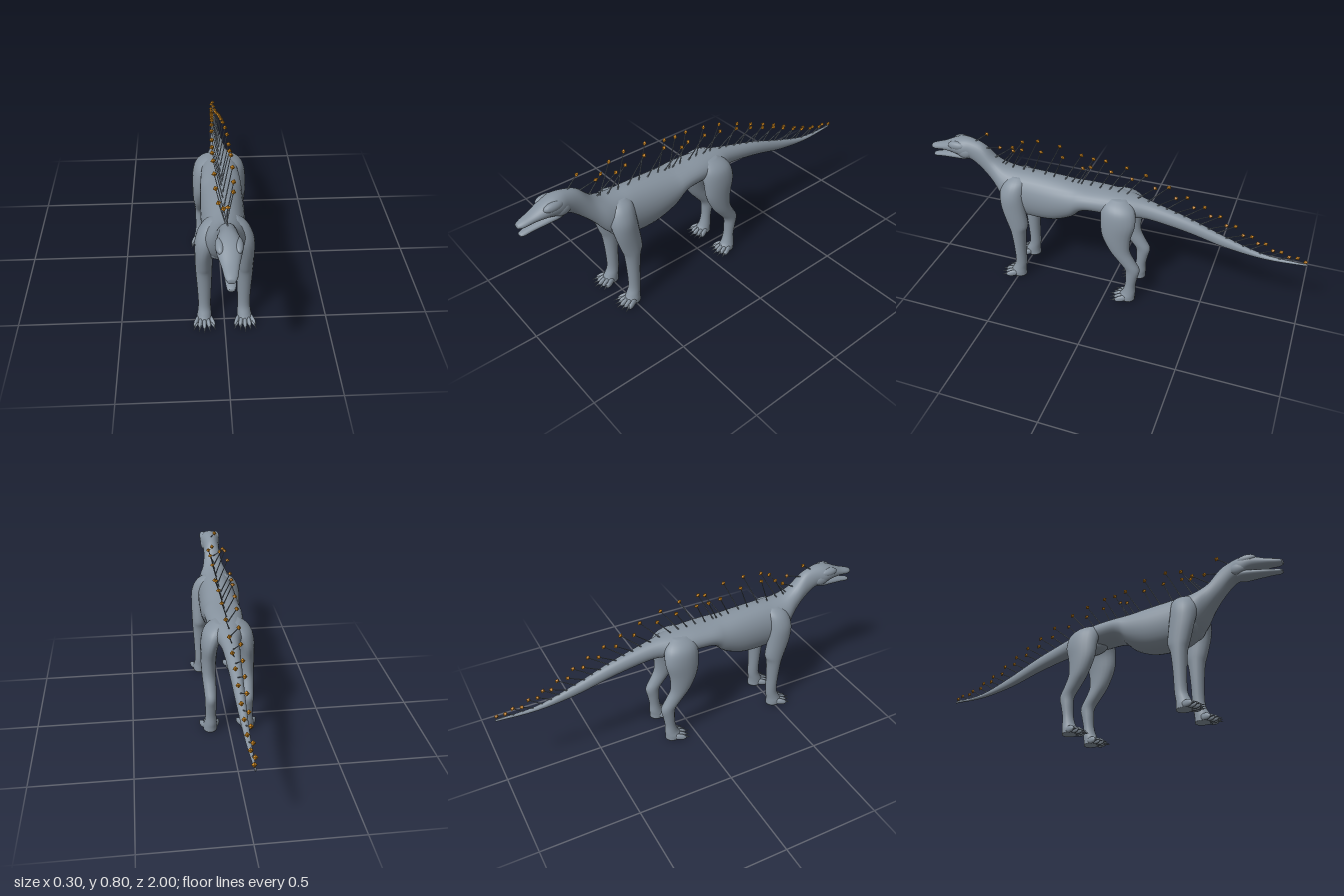
import * as THREE from 'three';

const skin = new THREE.MeshStandardMaterial({ color: 0x87939f });
skin.name = 'slateSkin';
const tipMat = new THREE.MeshStandardMaterial({ color: 0xcc861f });
tipMat.name = 'amberTip';

// Smooth in-between rows for a table of cross-sections
function refine(rows, steps) {
  const out = [];
  const at = (i) => rows[Math.min(rows.length - 1, Math.max(0, i))];
  for (let i = 0; i < rows.length - 1; i++) {
    for (let s = 0; s < steps; s++) {
      const t = s / steps;
      out.push(rows[i].map((p1, k) => {
        const p0 = at(i - 1)[k], p2 = at(i + 1)[k], p3 = at(i + 2)[k];
        return p1 + 0.5 * t * (p2 - p0 + t * (2 * p0 - 5 * p1 + 4 * p2 - p3 + t * (3 * (p1 - p2) + p3 - p0)));
      }));
    }
  }
  out.push(rows[rows.length - 1]);
  return out;
}

// Skin through rings; point(row, cos, sin) gives one ring point
function loft(rows, sides, point) {
  const pos = [], index = [];
  const n = rows.length;
  rows.forEach((row) => {
    for (let j = 0; j < sides; j++) {
      const a = (j / sides) * Math.PI * 2;
      pos.push(...point(row, Math.cos(a), Math.sin(a)));
    }
  });
  for (let i = 0; i < n - 1; i++) {
    for (let j = 0; j < sides; j++) {
      const a = i * sides + j, b = i * sides + (j + 1) % sides;
      index.push(a, b, a + sides, b, b + sides, a + sides);
    }
  }
  // End caps
  pos.push(...point(rows[0], 0, 0), ...point(rows[n - 1], 0, 0));
  for (let j = 0; j < sides; j++) {
    const k = (j + 1) % sides, e = (n - 1) * sides;
    index.push(n * sides, k, j, n * sides + 1, e + j, e + k);
  }
  const g = new THREE.BufferGeometry();
  g.setAttribute('position', new THREE.Float32BufferAttribute(pos, 3));
  g.setIndex(index);
  g.computeVertexNormals();
  return g;
}

// Oval section with a slightly squarer underside
const alongZ = ([z, top, bottom, w], c, s) => [
  w * Math.sign(c) * Math.abs(c) ** (s < 0 ? 0.78 : 0.95),
  (top + bottom) / 2 + ((top - bottom) / 2) * s, z,
];

// Rows: z, top, bottom, half width (tail to snout)
const bodyRows = refine([
  [-1, 0.402, 0.391, 0.004], [-0.8, 0.404, 0.382, 0.012], [-0.6, 0.46, 0.405, 0.021],
  [-0.4, 0.53, 0.455, 0.031], [-0.2, 0.583, 0.49, 0.046], [-0.1, 0.603, 0.485, 0.075],
  [0, 0.612, 0.492, 0.09], [0.1, 0.612, 0.492, 0.098], [0.15, 0.613, 0.472, 0.101], [0.2, 0.616, 0.425, 0.103],
  [0.3, 0.624, 0.382, 0.105], [0.42, 0.63, 0.373, 0.102], [0.5, 0.63, 0.388, 0.1],
  [0.57, 0.64, 0.442, 0.088], [0.63, 0.672, 0.52, 0.059], [0.69, 0.732, 0.585, 0.046],
  [0.75, 0.755, 0.638, 0.046], [0.8, 0.76, 0.65, 0.055], [0.85, 0.748, 0.668, 0.053],
  [0.92, 0.715, 0.671, 0.036], [0.97, 0.698, 0.664, 0.027], [0.995, 0.688, 0.667, 0.016],
], 5);

const jawRows = refine([
  [0.76, 0.68, 0.65, 0.025], [0.8, 0.682, 0.64, 0.042], [0.86, 0.67, 0.634, 0.036],
  [0.93, 0.653, 0.626, 0.025], [0.975, 0.641, 0.619, 0.019], [0.99, 0.635, 0.622, 0.013],
], 4);

// Rows: y, x, z, half width, half depth (sole to hip)
const frontLegRows = refine([
  [0.006, 0.098, 0.502, 0.036, 0.042], [0.03, 0.098, 0.503, 0.036, 0.042], [0.055, 0.096, 0.496, 0.033, 0.036],
  [0.1, 0.095, 0.485, 0.03, 0.031],
  [0.2, 0.095, 0.485, 0.034, 0.033], [0.3, 0.096, 0.486, 0.039, 0.042], [0.35, 0.096, 0.487, 0.041, 0.057],
  [0.44, 0.095, 0.505, 0.043, 0.065], [0.51, 0.08, 0.512, 0.055, 0.068], [0.56, 0.063, 0.507, 0.055, 0.064],
  [0.592, 0.046, 0.5, 0.047, 0.055], [0.612, 0.034, 0.495, 0.025, 0.03],
], 4);
const hindLegRows = refine([
  [0.006, 0.098, -0.125, 0.036, 0.042], [0.03, 0.098, -0.125, 0.036, 0.042], [0.055, 0.096, -0.134, 0.032, 0.035],
  [0.1, 0.095, -0.14, 0.028, 0.028],
  [0.16, 0.095, -0.147, 0.029, 0.032], [0.21, 0.095, -0.148, 0.03, 0.04], [0.26, 0.096, -0.116, 0.033, 0.046],
  [0.32, 0.098, -0.08, 0.036, 0.055], [0.4, 0.097, -0.062, 0.04, 0.075], [0.48, 0.091, -0.066, 0.045, 0.09],
  [0.54, 0.072, -0.062, 0.053, 0.089], [0.575, 0.053, -0.055, 0.047, 0.073], [0.598, 0.037, -0.05, 0.025, 0.04],
], 4);

function add(parent, geometry, material, name) {
  const m = new THREE.Mesh(geometry, material);
  m.name = name;
  parent.add(m);
  return m;
}

function blob(parent, name, x, y, z, rx, ry, rz) {
  const m = add(parent, new THREE.SphereGeometry(1, 18, 12), skin, name);
  m.position.set(x, y, z);
  m.scale.set(rx, ry, rz);
  return m;
}

// Leg with a clawed, splayed foot
function addLeg(parent, rows, side, name, footZ) {
  const leg = new THREE.Group();
  leg.name = name;
  add(leg, loft(rows, 20, ([y, x, z, rx, rz], c, s) => [side * x + rx * s, y, z + rz * c]), skin, 'limb');
  for (let i = 0; i < 5; i++) {
    const f = (i - 2) / 2;
    const x0 = side * 0.098 + f * 0.031, z0 = footZ + 0.025 - Math.abs(f) * 0.017;
    const toe = blob(leg, 'toe', x0 + f * 0.005, 0.021, z0 + 0.006, 0.011, 0.018, 0.036);
    toe.rotation.set(0.2, f * 0.4, 0);
    const claw = add(leg, new THREE.ConeGeometry(0.0085, 0.045, 8), skin, 'claw');
    claw.position.set(x0 + f * 0.014, 0.015, z0 + 0.043);
    claw.rotation.set(Math.PI / 2 + 0.25, 0, -f * 0.4);
  }
  parent.add(leg);
}

// Linear lookup in a table sorted by its first column
function lookup(rows, v, col) {
  for (let i = 1; i < rows.length; i++) {
    if (v <= rows[i][0]) {
      const t = (v - rows[i - 1][0]) / (rows[i][0] - rows[i - 1][0]);
      return rows[i - 1][col] + (rows[i][col] - rows[i - 1][col]) * t;
    }
  }
  return rows[rows.length - 1][col];
}

// Tip positions along the back; tip height, backward lean and sideways splay
const tipZ = [0.675, 0.595, 0.545, 0.505, 0.49, 0.455, 0.405, 0.35, 0.285, 0.235, 0.17, 0.13, 0.105, 0.09, 0.04,
  -0.015, -0.07, -0.12, -0.17, -0.235, -0.29, -0.34, -0.385, -0.43, -0.475, -0.515, -0.555, -0.595, -0.635,
  -0.68, -0.72, -0.755, -0.79, -0.83, -0.87, -0.91, -0.95, -0.99];
const quillRows = [
  [-0.99, 0.416, 0.04, 0.004], [-0.87, 0.435, 0.06, 0.009], [-0.72, 0.488, 0.085, 0.013], [-0.515, 0.585, 0.1, 0.019],
  [-0.29, 0.673, 0.1, 0.026], [-0.17, 0.713, 0.09, 0.032], [-0.015, 0.744, 0.075, 0.038], [0.09, 0.75, 0.07, 0.04],
  [0.13, 0.737, 0.08, 0.042], [0.235, 0.778, 0.075, 0.042], [0.405, 0.788, 0.075, 0.042], [0.49, 0.768, 0.09, 0.04],
  [0.545, 0.73, 0.09, 0.03], [0.595, 0.742, 0.085, 0.008], [0.675, 0.793, 0.065, 0.015],
];

function addQuills(parent) {
  const up = new THREE.Vector3(0, 1, 0);
  tipZ.forEach((z, i) => {
    const side = i % 2 ? 1 : -1;
    const bz = z + lookup(quillRows, z, 2);
    const base = new THREE.Vector3(0, lookup(bodyRows, bz, 1) - 0.006, bz);
    const tip = new THREE.Vector3(side * lookup(quillRows, z, 3), lookup(quillRows, z, 1), z);
    const dir = tip.clone().sub(base);
    const quill = new THREE.Group();
    quill.name = 'quill';
    quill.position.copy(base);
    quill.quaternion.setFromUnitVectors(up, dir.clone().normalize());
    const len = dir.length();
    add(quill, new THREE.CylinderGeometry(0.002, 0.0032, len, 6), skin, 'quillShaft').position.y = len / 2;
    add(quill, new THREE.OctahedronGeometry(0.0125), tipMat, 'quillTip').position.y = len;
    parent.add(quill);
  });
}

export function createModel() {
  const model = new THREE.Group();
  model.name = 'quilledReptile';
  add(model, loft(bodyRows, 28, alongZ), skin, 'body');
  add(model, loft(jawRows, 20, alongZ), skin, 'lowerJaw');
  blob(model, 'pelvis', 0, 0.5, -0.06, 0.055, 0.035, 0.09);
  for (const side of [1, -1]) {
    const s = side > 0 ? 'left' : 'right';
    blob(model, s + 'Brow', side * 0.037, 0.724, 0.83, 0.021, 0.023, 0.05);
    blob(model, s + 'Cheek', side * 0.034, 0.69, 0.79, 0.021, 0.032, 0.043);
    blob(model, s + 'ChestMuscle', side * 0.034, 0.47, 0.52, 0.05, 0.062, 0.05);
    addLeg(model, frontLegRows, side, s + 'FrontLeg', 0.514);
    addLeg(model, hindLegRows, side, s + 'HindLeg', -0.117);
  }
  addQuills(model);
  return model;
}
